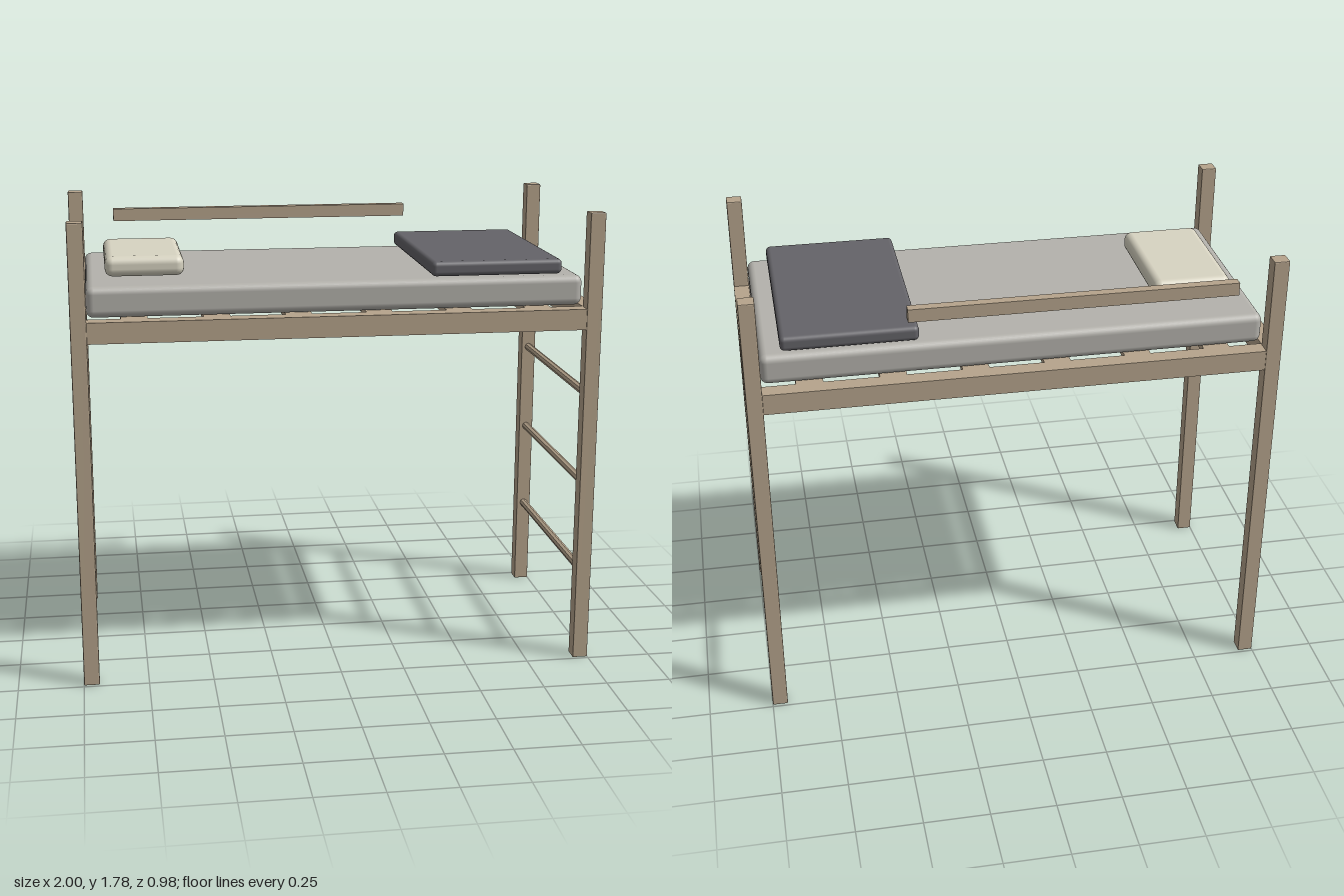
import * as THREE from 'three';
import { RoundedBoxGeometry } from 'three/addons/geometries/RoundedBoxGeometry.js';

export function createModel() {
  const model = new THREE.Group();
  model.name = 'loftBed';
  const material = (color, flatShading = false) => new THREE.MeshStandardMaterial({ color, flatShading });
  const wood = material(0xb6a48c, true);

  const add = (name, geometry, mat, x, y, z) => {
    const mesh = new THREE.Mesh(geometry, mat);
    mesh.name = name;
    mesh.position.set(x, y, z);
    model.add(mesh);
    return mesh;
  };
  // Box given by its limits on each axis; a radius rounds its edges
  const block = (name, mat, [x0, x1], [y0, y1], [z0, z1], radius = 0) => {
    const size = [x1 - x0, y1 - y0, z1 - z0];
    const geometry = radius
      ? new RoundedBoxGeometry(...size, 3, radius)
      : new THREE.BoxGeometry(...size);
    return add(name, geometry, mat, (x0 + x1) / 2, (y0 + y1) / 2, (z0 + z1) / 2);
  };

  const post = 0.06, height = 1.785, px = 0.97, pz = 0.46;
  const railY = 1.38, railH = 0.08, railW = 0.065;

  // Corner posts with slightly softened edges
  for (const x of [-px, px]) {
    for (const z of [-pz, pz]) {
      add('post', new RoundedBoxGeometry(post, height, post, 1, 0.004), wood, x, height / 2, z);
    }
  }

  // Frame rails, flush with the outer faces of the posts
  for (const s of [-1, 1]) {
    add('sideRail', new THREE.BoxGeometry(1.88, railH, railW), wood, 0, railY, s * (0.49 - railW / 2));
    add('endRail', new THREE.BoxGeometry(post, railH, 0.86), wood, s * px, railY, 0);
  }

  // Slats directly under the mattress
  for (let i = 0; i < 6; i++) {
    add('slat', new THREE.BoxGeometry(0.1, 0.024, 0.85), wood, (i - 2.5) * 0.306, 1.408, 0);
  }

  // Ladder rungs between the posts at one end
  for (const y of [0.36, 0.717, 1.075]) {
    const rung = add('ladderRung', new THREE.CylinderGeometry(0.016, 0.016, 0.87, 8), wood, px, y, 0);
    rung.rotation.x = Math.PI / 2;
  }

  // Guard rail along the back
  block('guardRail', wood, [-0.817, 0.407], [1.66, 1.71], [-0.483, -0.446]);

  // Bedding
  block('mattress', material(0xb4b2ac), [-0.94, 0.94], [1.422, 1.538], [-0.425, 0.425], 0.028);
  block('pillow', material(0xd8d4c2), [-0.865, -0.566], [1.543, 1.62], [-0.25, 0.25], 0.03);
  block('foldedBlanket', material(0x646368), [0.357, 0.862], [1.543, 1.6], [-0.408, 0.408], 0.018);

  return model;
}
